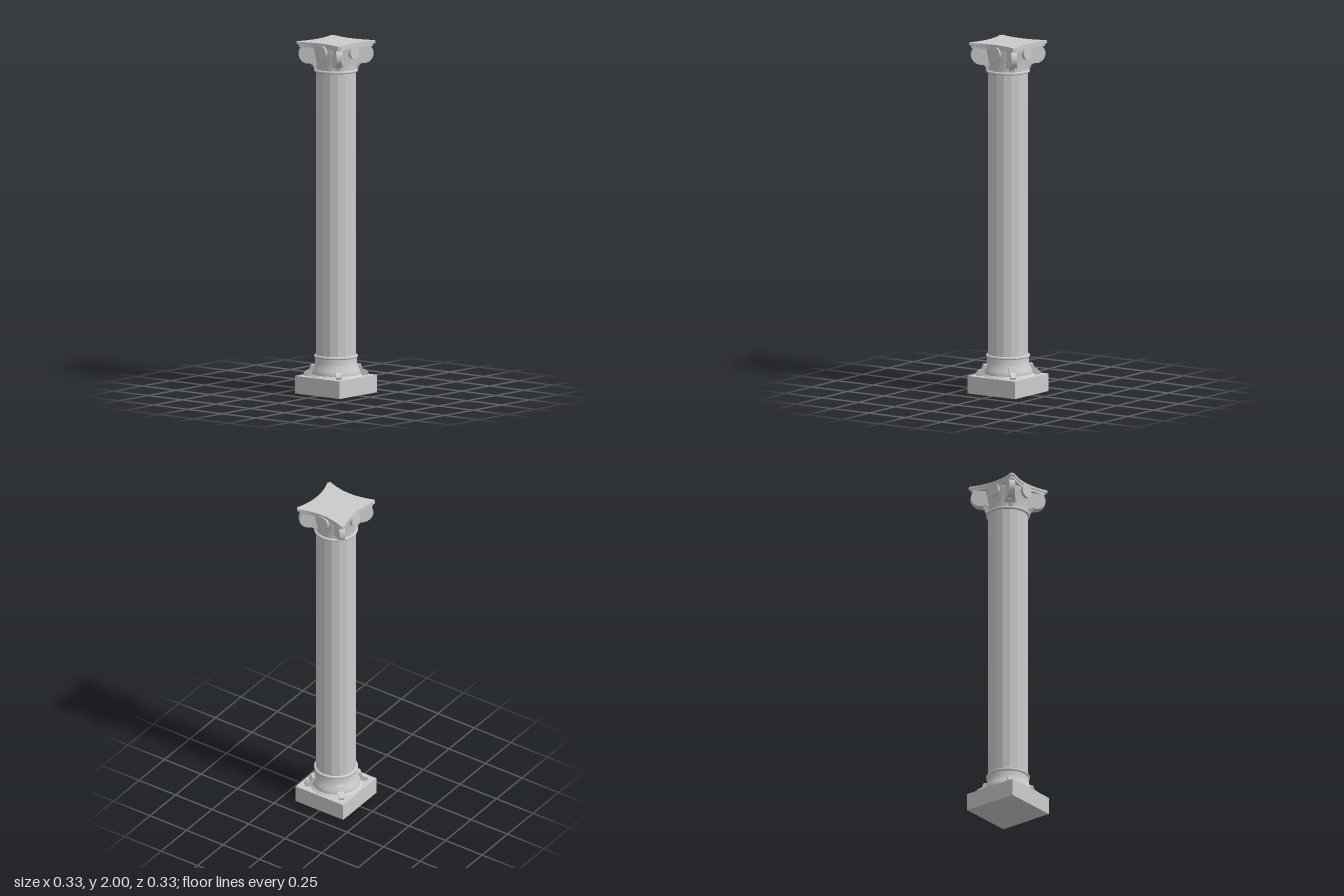
import * as THREE from 'three';

const material = new THREE.MeshStandardMaterial({ color: 0xcccccc });
const flat = new THREE.MeshStandardMaterial({ color: 0xcccccc, flatShading: true });

function add(parent, name, geometry, mat = flat) {
  const mesh = new THREE.Mesh(geometry, mat);
  mesh.name = name;
  parent.add(mesh);
  return mesh;
}

const lathe = (points, sides = 32) =>
  new THREE.LatheGeometry(points.map(([r, y]) => new THREE.Vector2(r, y)), sides);

// Four-sided slab with hollowed sides and clipped corners
function hollowSlab(half, mid, y, height) {
  const c = half - 0.013, control = 2 * mid - half;
  const shape = new THREE.Shape();
  shape.moveTo(-c, -half);
  shape.quadraticCurveTo(0, -control, c, -half);
  shape.lineTo(half, -c);
  shape.quadraticCurveTo(control, 0, half, c);
  shape.lineTo(c, half);
  shape.quadraticCurveTo(0, control, -c, half);
  shape.lineTo(-half, c);
  shape.quadraticCurveTo(-control, 0, -half, -c);
  shape.closePath();
  const g = new THREE.ExtrudeGeometry(shape, { depth: height, bevelEnabled: false, curveSegments: 10 });
  return g.rotateX(-Math.PI / 2).translate(0, y, 0);
}

// Corner scroll drawn in the (radius, height) plane, thinner toward its tip
function voluteGeometry() {
  const shape = new THREE.Shape();
  shape.moveTo(0.09, 1.86);
  shape.quadraticCurveTo(0.118, 1.865, 0.132, 1.882);
  shape.absarc(0.157, 1.93, 0.054, -2.05, Math.PI / 2, false);
  shape.lineTo(0.09, 1.984);
  shape.closePath();
  const g = new THREE.ExtrudeGeometry(shape, { depth: 1, bevelEnabled: false, curveSegments: 20 });
  g.translate(0, 0, -0.5);
  const p = g.attributes.position;
  for (let i = 0; i < p.count; i++) {
    const t = (p.getX(i) - 0.09) / 0.121;
    p.setZ(i, p.getZ(i) * THREE.MathUtils.lerp(0.07, 0.03, t));
  }
  g.computeVertexNormals();
  return g;
}

// Small leaf: side outline extruded across, its width changing with height
function leafGeometry(points, bottomWidth, topWidth) {
  const shape = new THREE.Shape(points.map(([r, y]) => new THREE.Vector2(r, y)));
  const g = new THREE.ExtrudeGeometry(shape, { depth: 1, bevelEnabled: false });
  g.translate(0, 0, -0.5);
  g.computeBoundingBox();
  const { min, max } = g.boundingBox;
  const p = g.attributes.position;
  for (let i = 0; i < p.count; i++) {
    const t = (p.getY(i) - min.y) / (max.y - min.y);
    p.setZ(i, p.getZ(i) * THREE.MathUtils.lerp(bottomWidth, topWidth, t));
  }
  g.computeVertexNormals();
  return g;
}

export function createModel() {
  const column = new THREE.Group();
  column.name = 'column';

  // Base
  add(column, 'plinth', new THREE.BoxGeometry(0.326, 0.1, 0.326).translate(0, 0.05, 0));
  add(column, 'plinthStep', new THREE.CylinderGeometry(0.137, 0.15, 0.012, 32).translate(0, 0.106, 0));
  add(column, 'baseBell', lathe([
    [0.137, 0.11], [0.138, 0.122], [0.132, 0.138], [0.123, 0.158], [0.118, 0.18], [0.117, 0.207],
  ]), material);

  // Shaft and its two neck rings
  add(column, 'shaft', new THREE.CylinderGeometry(0.113, 0.113, 1.65, 16).translate(0, 1.025, 0));
  for (const [name, y] of [['lowerRing', 0.212], ['upperRing', 1.835]]) {
    add(column, name, lathe([
      [0.112, y - 0.008], [0.121, y - 0.007], [0.125, y], [0.121, y + 0.007], [0.112, y + 0.008],
    ]), material);
  }

  // Capital bell
  add(column, 'capitalBell', lathe([
    [0.113, 1.835], [0.114, 1.86], [0.118, 1.89], [0.124, 1.925], [0.13, 1.955], [0.131, 1.975],
  ]), material);

  // Abacus in two steps
  add(column, 'abacusMoulding', hollowSlab(0.154, 0.125, 1.97, 0.016));
  add(column, 'abacus', hollowSlab(0.163, 0.132, 1.985, 0.015));

  const volute = voluteGeometry();
  const capitalLeaf = leafGeometry(
    [[0.105, 1.846], [0.124, 1.846], [0.13, 1.862], [0.146, 1.876], [0.143, 1.89], [0.11, 1.9]], 0.025, 0.042);
  const spur = leafGeometry(
    [[0.11, 0.1], [0.178, 0.1], [0.182, 0.114], [0.17, 0.126], [0.15, 0.136], [0.14, 0.163], [0.11, 0.163]], 0.026, 0.044);

  for (let i = 0; i < 4; i++) {
    // Corner ornaments on the diagonals
    const corner = new THREE.Group();
    corner.name = 'cornerOrnament';
    corner.rotation.y = Math.PI / 4 + i * Math.PI / 2;
    add(corner, 'volute', volute);
    add(corner, 'capitalLeaf', capitalLeaf);
    add(corner, 'baseSpur', spur);
    column.add(corner);

    // Round boss in the middle of each side
    const side = new THREE.Group();
    side.name = 'sideOrnament';
    side.rotation.y = i * Math.PI / 2;
    add(side, 'boss', new THREE.CylinderGeometry(0.039, 0.039, 0.03, 20)
      .rotateX(Math.PI / 2).translate(0, 1.95, 0.123));
    column.add(side);
  }
  return column;
}
